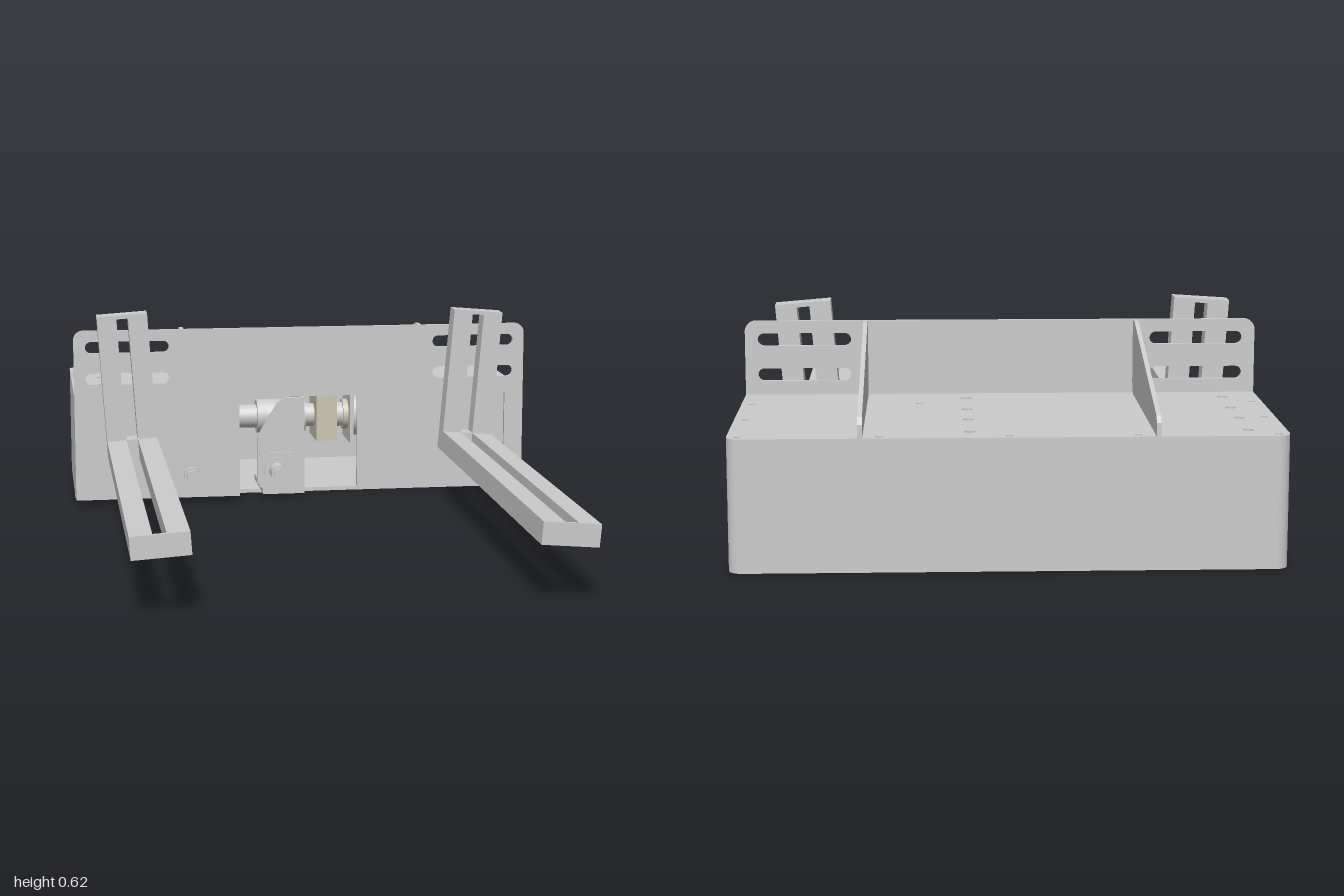
import * as THREE from 'three';

const grey = new THREE.MeshStandardMaterial({ color: 0xcccccc });
const beige = new THREE.MeshStandardMaterial({ color: 0xcbc7b4 });
const T = 0.012; // sheet thickness

export function createModel() {
  const model = new THREE.Group();

  const add = (name, geo, x = 0, y = 0, z = 0, parent = model, mat = grey) => {
    const m = new THREE.Mesh(geo, mat);
    m.name = name;
    m.position.set(x, y, z);
    parent.add(m);
    return m;
  };
  // Box given by its limits
  const box = (name, x0, x1, y0, y1, z0, z1, parent = model, mat = grey) =>
    add(name, new THREE.BoxGeometry(x1 - x0, y1 - y0, z1 - z0),
      (x0 + x1) / 2, (y0 + y1) / 2, (z0 + z1) / 2, parent, mat);
  const extrude = (shape, depth) =>
    new THREE.ExtrudeGeometry(shape, { depth, bevelEnabled: false, curveSegments: 10 });
  // Plan shape (x, z) extruded downwards from the given top
  const plan = (name, shape, top, depth) =>
    add(name, extrude(shape, depth).rotateX(Math.PI / 2), 0, top, 0);
  const circle = (x, y, r) => new THREE.Path().absarc(x, y, r, 0, Math.PI * 2, true);
  const rod = (name, axis, r, a, b, u, y, mat = grey) => {
    const g = new THREE.CylinderGeometry(r, r, b - a, 28);
    if (axis === 'x') return add(name, g.rotateZ(Math.PI / 2), (a + b) / 2, y, u, model, mat);
    return add(name, g.rotateX(Math.PI / 2), u, y, (a + b) / 2, model, mat);
  };

  // Plan outline with rounded rear corners, open or closed at the front
  const W = 0.72, B = -1, R = 0.035;
  const rearPath = (s, front, i = 0) => {
    const w = W - i, b = B + i, r = R - i;
    s.moveTo(-w, front);
    s.lineTo(-w, b + r);
    s.absarc(-w + r, b + r, r, Math.PI, Math.PI * 1.5, false);
    s.lineTo(w - r, b);
    s.absarc(w - r, b + r, r, -Math.PI / 2, 0, false);
    s.lineTo(w, front);
    return s;
  };
  const wallShape = (front) => {
    const s = rearPath(new THREE.Shape(), front);
    const inner = rearPath(new THREE.Shape(), front, T).getPoints(10).reverse();
    inner.forEach((p) => s.lineTo(p.x, p.y));
    return s;
  };

  // Housing: walls, floor and deck
  plan('housingWalls', wallShape(-0.367), 0.338, 0.318);
  plan('housingLowerWalls', wallShape(-0.49), 0.02, 0.02);
  plan('floor', rearPath(new THREE.Shape(), -0.49, T), T, T);
  const deck = rearPath(new THREE.Shape(), -0.367);
  for (const x of [-0.62, 0.1])
    for (const z of [-0.92, -0.755, -0.61, -0.445]) deck.holes.push(circle(x, z, 0.015));
  const small = [[-0.33, -0.975], [0, -0.975], [0.33, -0.975], [0.23, -0.52]];
  for (const x of [-0.69, 0.69]) for (const z of [-0.975, -0.745, -0.52]) small.push([x, z]);
  small.forEach(([x, z]) => deck.holes.push(circle(x, z, 0.01)));
  plan('deck', deck, 0.35, T);
  box('compartmentFront', 0.2, W - T, 0, 0.338, -0.502, -0.49);

  // Front plate with drive opening and adjustment slots
  const plate = new THREE.Shape();
  plate.moveTo(-W, 0.02);
  [[-0.2, 0.02], [-0.2, 0.338], [0.66, 0.338], [0.66, 0.02], [W, 0.02], [W, 0.53]]
    .forEach((p) => plate.lineTo(...p));
  plate.absarc(W - 0.03, 0.53, 0.03, 0, Math.PI / 2, false);
  plate.lineTo(-W + 0.03, 0.56);
  plate.absarc(-W + 0.03, 0.53, 0.03, Math.PI / 2, Math.PI, false);
  for (const cx of [-0.553, 0.553]) {
    for (const y of [0.407, 0.507]) {
      const slot = new THREE.Path();
      slot.absarc(cx + 0.113, y, 0.018, -Math.PI / 2, Math.PI / 2, false);
      slot.absarc(cx - 0.113, y, 0.018, Math.PI / 2, Math.PI * 1.5, false);
      slot.closePath();
      plate.holes.push(slot);
    }
  }
  add('frontPlate', extrude(plate, T), 0, 0, -0.367);

  // Triangular gussets between deck and front plate, drawn as (-z, y)
  const gusset = new THREE.Shape([[0.367, 0.38], [0.39, 0.35], [0.998, 0.35], [0.998, 0.385],
    [0.98, 0.402], [0.41, 0.56], [0.367, 0.56]].map((p) => new THREE.Vector2(...p)));
  for (const x of [-0.38, 0.38])
    add('gusset', extrude(gusset, T).rotateY(Math.PI / 2), x - T / 2, 0, 0);

  // Forks: twin rails for upright and tine, leaning outwards
  const addFork = (name, x, y, tilt) => {
    const f = new THREE.Group();
    f.name = name;
    f.position.set(x, y, 0);
    f.rotation.z = tilt;
    model.add(f);
    const h = 0.078, gap = 0.018;
    for (const [a, b] of [[-h, -gap], [gap, h]]) {
      box('uprightRail', a, b, 0, 0.443, -0.355, -0.292, f);
      box('tineRail', a, b, 0, 0.062, -0.292, 0.99, f);
    }
    box('uprightCap', -h, h, 0.443, 0.455, -0.355, -0.292, f);
    box('uprightFoot', -h, h, 0, 0.062, -0.355, -0.292, f);
    box('tineEndPlate', -h, h, 0, 0.062, 0.99, 1, f);
  };
  addFork('leftFork', 0.519, 0.156, -0.084);
  addFork('rightFork', -0.54, 0.162, 0.066);

  // Drive bracket behind the opening
  const bracket = new THREE.Shape([[-0.138, 0.05], [-0.12, 0.03], [0.015, 0.03], [0.015, 0.325],
    [-0.05, 0.325], [-0.07, 0.312], [-0.138, 0.2]].map((p) => new THREE.Vector2(...p)));
  add('driveBracket', extrude(bracket, 0.015), 0, 0, -0.42);
  box('bracketSide', 0.003, 0.015, 0.03, 0.325, -0.66, -0.42);
  box('bracketFoot', -0.12, 0.015, T, 0.03, -0.66, -0.405);

  // Output shafts with stepped ends
  for (const [x, z0] of [[-0.352, -0.367], [-0.075, -0.405]]) {
    rod('shaftCollar', 'z', 0.026, z0, -0.335, x, 0.093);
    rod('shaftEnd', 'z', 0.019, -0.335, -0.322, x, 0.093);
  }
  rod('shaftFlange', 'z', 0.042, -0.405, -0.39, -0.075, 0.093);
  box('flangePlate', -0.132, -0.022, 0.038, 0.148, -0.405, -0.398);
  for (const dx of [-0.04, 0.04])
    for (const dy of [-0.04, 0.04])
      rod('flangeBolt', 'z', 0.007, -0.4, -0.39, -0.075 + dx, 0.093 + dy);

  // Motor train lying across the housing
  const mz = -0.6, my = 0.235;
  rod('driveShaft', 'x', 0.038, -0.3, 0.07, mz, my);
  rod('driveCollar', 'x', 0.055, -0.12, 0.04, mz, my);
  box('bearingBlock', 0.07, 0.138, 0.16, 0.338, -0.68, -0.52, model, beige);
  rod('coupling', 'x', 0.04, 0.138, 0.165, mz, my);
  rod('couplingRing', 'x', 0.05, 0.165, 0.182, mz, my, beige);
  box('motorMount', 0.182, 0.194, 0.15, 0.338, -0.68, -0.52);
  rod('motor', 'x', 0.07, 0.194, 0.5, mz, my);

  return model;
}
